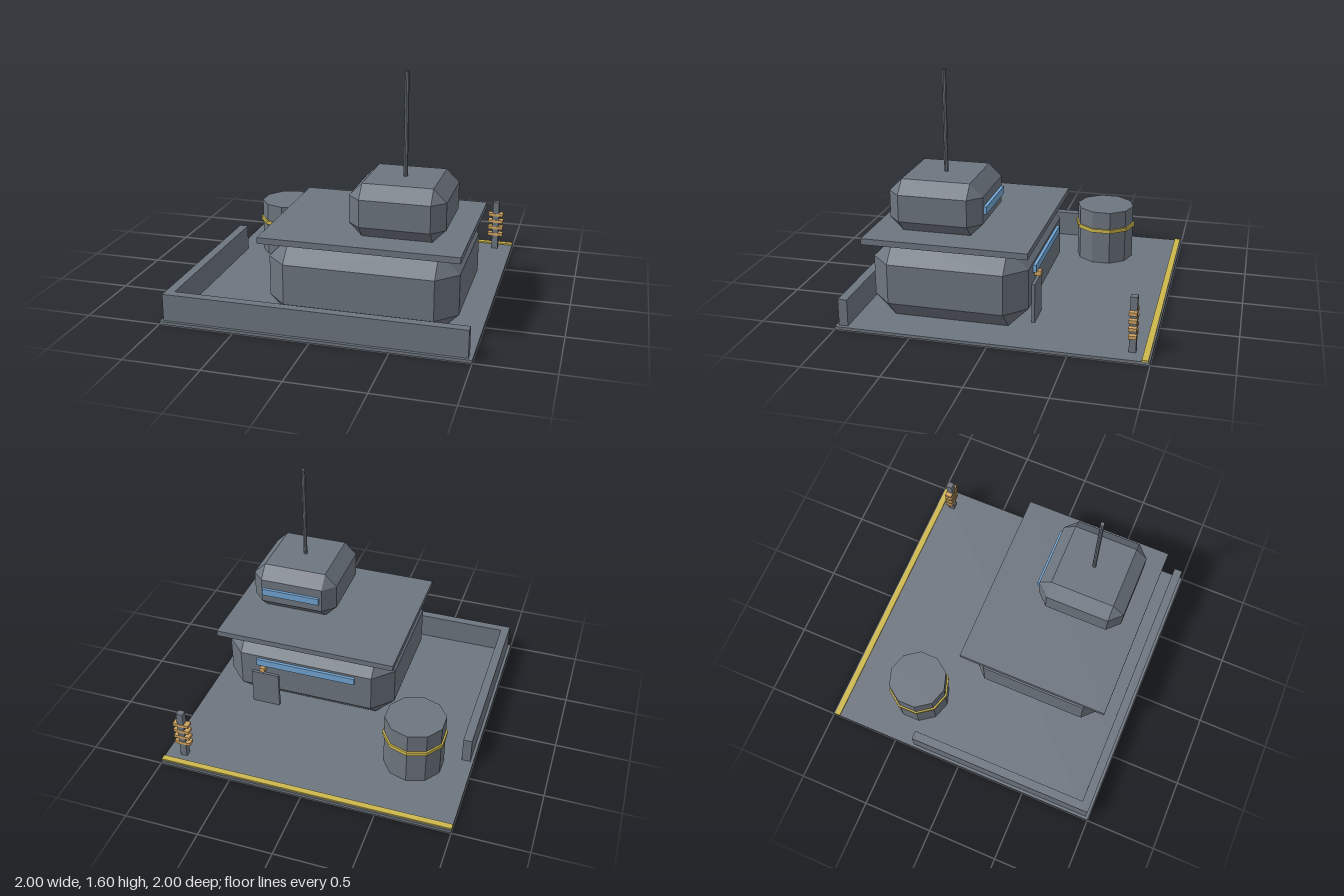
import * as THREE from 'three';
import { ConvexGeometry } from 'three/addons/geometries/ConvexGeometry.js';

const paint = (name, color) => {
  const m = new THREE.MeshStandardMaterial({ color, flatShading: true });
  m.name = name;
  return m;
};

export function createModel() {
  const root = new THREE.Group();
  root.name = 'outpost';
  const grey = paint('slate grey', 0x6d757f);
  const yellow = paint('safety yellow', 0xcdb74c);
  const orange = paint('copper orange', 0xd0a462);
  const blue = paint('window blue', 0x72a5d4);

  const add = (name, geometry, material, x = 0, y = 0, z = 0) => {
    const mesh = new THREE.Mesh(geometry, material);
    mesh.name = name;
    mesh.position.set(x, y, z);
    root.add(mesh);
    return mesh;
  };

  // Box given by its extents along each axis
  const box = (name, material, [x0, x1], [y0, y1], [z0, z1]) =>
    add(name, new THREE.BoxGeometry(x1 - x0, y1 - y0, z1 - z0), material,
      (x0 + x1) / 2, (y0 + y1) / 2, (z0 + z1) / 2);

  // Box with all edges and corners cut by c
  const chamferedBox = (name, material, [x0, x1], [y0, y1], [z0, z1], c) => {
    const a = (x1 - x0) / 2, b = (y1 - y0) / 2, d = (z1 - z0) / 2;
    const points = [];
    for (const sx of [-1, 1]) for (const sy of [-1, 1]) for (const sz of [-1, 1]) {
      points.push(
        new THREE.Vector3(sx * a, sy * (b - c), sz * (d - c)),
        new THREE.Vector3(sx * (a - c), sy * b, sz * (d - c)),
        new THREE.Vector3(sx * (a - c), sy * (b - c), sz * d));
    }
    return add(name, new ConvexGeometry(points), material,
      (x0 + x1) / 2, (y0 + y1) / 2, (z0 + z1) / 2);
  };

  const cylinder = (name, material, r, y0, y1, sides, x, z) =>
    add(name, new THREE.CylinderGeometry(r, r, y1 - y0, sides), material, x, (y0 + y1) / 2, z);

  // Ground plate, edge stripe and L-shaped wall
  box('groundPlate', grey, [-1, 1], [0, 0.02], [-1, 1]);
  box('edgeStripe', yellow, [-1, 1], [0.02, 0.03], [-0.99, -0.95]);
  box('frontWall', grey, [-0.98, 0.975], [0.02, 0.2], [0.92, 0.98]);
  box('sideWall', grey, [-0.98, -0.92], [0.02, 0.2], [-0.36, 0.92]);

  // Main building, roof slab and upper cabin
  chamferedBox('mainBuilding', grey, [-0.36, 0.865], [0.02, 0.55], [-0.2, 0.82], 0.133);
  box('roofSlab', grey, [-0.385, 0.89], [0.55, 0.59], [-0.23, 0.84]);
  chamferedBox('upperCabin', grey, [0.15, 0.762], [0.59, 0.932], [0.105, 0.717], 0.083);
  cylinder('antenna', grey, 0.014, 0.93, 1.598, 8, 0.457, 0.41);

  // Windows, door and door lamp on the rear side
  box('mainWindow', blue, [-0.11, 0.61], [0.35, 0.4], [-0.22, -0.2]);
  box('cabinWindow', blue, [0.25, 0.67], [0.735, 0.785], [0.085, 0.105]);
  box('door', grey, [0.45, 0.65], [0.02, 0.283], [-0.22, -0.198]);
  box('doorLamp', orange, [0.542, 0.578], [0.315, 0.35], [-0.245, -0.2]);

  // Storage tank with its band
  cylinder('tank', grey, 0.204, 0.02, 0.407, 10, -0.613, -0.463);
  cylinder('tankBand', yellow, 0.216, 0.255, 0.281, 10, -0.613, -0.463);

  // Power post with stacked insulators
  box('powerPost', grey, [0.855, 0.9], [0.02, 0.383], [-0.902, -0.858]);
  for (let i = 0; i < 4; i++) {
    const y = 0.132 + i * 0.051;
    box('insulator', orange, [0.822, 0.932], [y - 0.011, y + 0.011], [-0.905, -0.855]);
  }
  return root;
}
